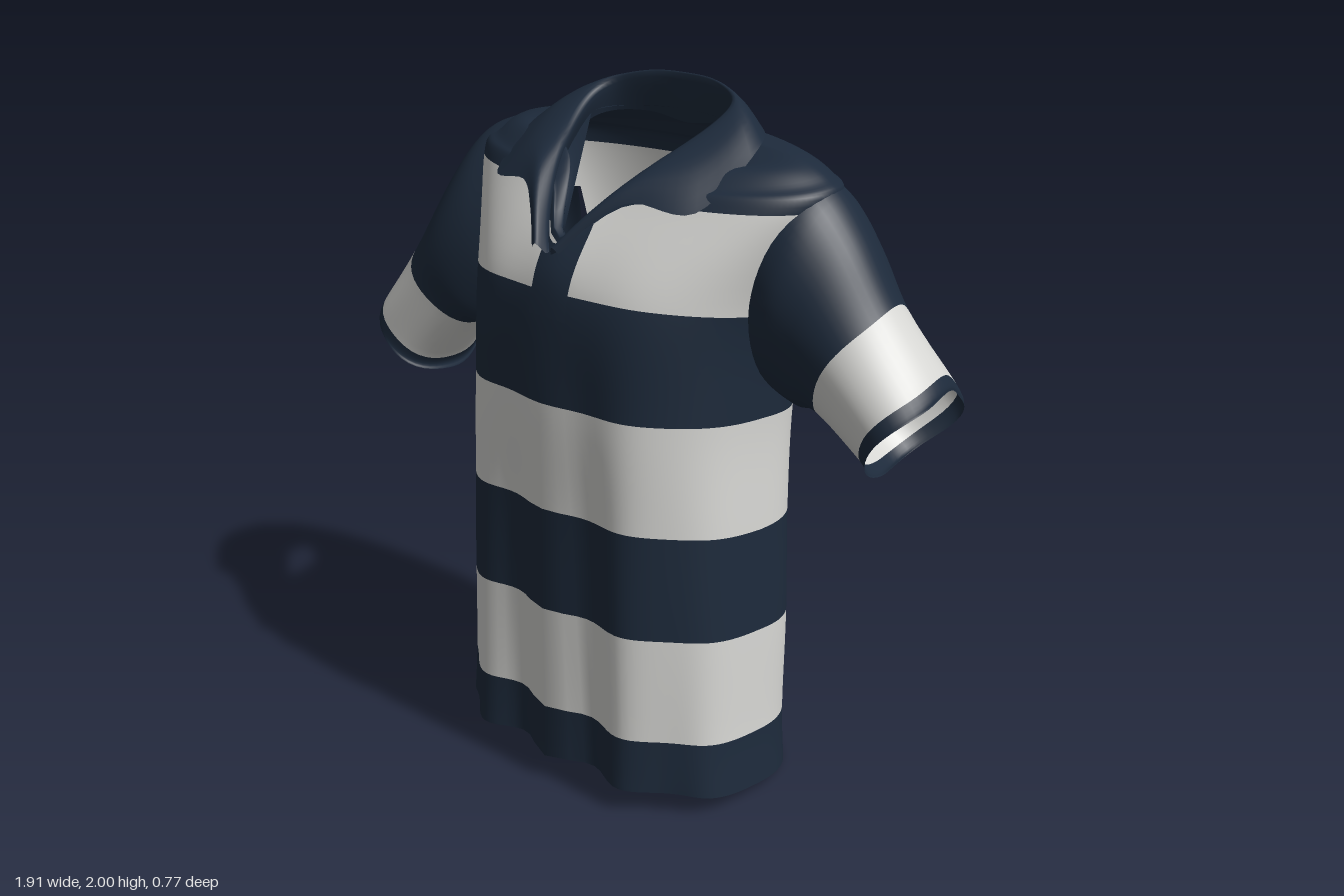
import * as THREE from 'three';

const navy = new THREE.MeshStandardMaterial({ color: 0x1d2a3b, side: THREE.DoubleSide });
navy.name = 'navy cloth';
const pale = new THREE.MeshStandardMaterial({ color: 0xd6d6d3, side: THREE.DoubleSide });
pale.name = 'pale cloth';

// Smooth interpolation through a list of key rows
function sample(keys, t) {
  const n = keys.length - 1;
  const i = Math.min(Math.floor(t), n - 1), f = t - i;
  const [a, b, c, d] = [i - 1, i, i + 1, i + 2].map(k => keys[Math.min(Math.max(k, 0), n)]);
  return b.map((_, k) => {
    const m0 = (c[k] - a[k]) / 2, m1 = (d[k] - b[k]) / 2;
    const f2 = f * f, f3 = f2 * f;
    return (2 * f3 - 3 * f2 + 1) * b[k] + (f3 - 2 * f2 + f) * m0 + (3 * f2 - 2 * f3) * c[k] + (f3 - f2) * m1;
  });
}

// Surface through rows; isPale(rowFraction) colours a row band, isHole(x, y, z) leaves faces out
function loft(name, point, rows, cols, closed, isPale = () => false, isHole = () => false) {
  const pos = [], idx = [], geo = new THREE.BufferGeometry();
  const w = closed ? cols : cols + 1;
  for (let i = 0; i <= rows; i++)
    for (let j = 0; j < w; j++) pos.push(...point(i / rows, j / cols));
  for (let i = 0; i < rows; i++) {
    const start = idx.length;
    for (let j = 0; j < cols; j++) {
      const a = i * w + j, b = i * w + (j + 1) % w;
      if (!isHole(...point((i + 0.5) / rows, (j + 0.5) / cols)))
        idx.push(a, b, a + w, b, b + w, a + w);
    }
    geo.addGroup(start, idx.length - start, isPale((i + 0.5) / rows) ? 1 : 0);
  }
  geo.setAttribute('position', new THREE.Float32BufferAttribute(pos, 3));
  geo.setIndex(idx);
  geo.computeVertexNormals();
  const mesh = new THREE.Mesh(geo, [navy, pale]);
  mesh.name = name;
  return mesh;
}

// Torso rings: front y,z | side x,y,z | back y,z | front, back squareness | neck dip
const torsoRings = [
  [0.08, 0.36, 0.515, 0.035, 0.02, 0.0, -0.31, 0.65, 0.8, 0],
  [0.245, 0.36, 0.5, 0.205, 0.02, 0.17, -0.315, 0.65, 0.8, 0],
  [0.565, 0.365, 0.49, 0.525, 0.0, 0.49, -0.325, 0.67, 0.8, 0],
  [0.875, 0.365, 0.475, 0.83, 0.0, 0.81, -0.335, 0.7, 0.8, 0],
  [1.19, 0.37, 0.465, 1.155, -0.02, 1.12, -0.355, 0.75, 0.8, 0],
  [1.5, 0.345, 0.495, 1.45, -0.06, 1.42, -0.378, 0.82, 0.85, 0],
  [1.74, 0.19, 0.605, 1.745, -0.09, 1.735, -0.36, 0.9, 0.95, 0.12],
  [1.785, 0.15, 0.57, 1.815, -0.1, 1.805, -0.33, 0.95, 0.95, 0.15],
  [1.82, 0.09, 0.46, 1.862, -0.1, 1.865, -0.28, 1, 1, 0.19],
  [1.63, 0.28, 0.25, 1.88, -0.1, 1.9, -0.225, 2, 1, 0],
];

function torsoPoint(t, angle) {
  const [fy, fz, sx, sy, sz, by, bz, ef, eb, dip] = sample(torsoRings, t);
  const s = Math.sin(angle), c = Math.cos(angle), e = c > 0 ? ef : eb;
  const k = Math.abs(c) ** e;
  const x = sx * Math.sign(s) * Math.abs(s) ** e;
  let y = sy + ((c > 0 ? fy : by) - sy) * k;
  let z = sz + ((c > 0 ? fz : bz) - sz) * k;
  if (c > 0) {
    // open neck notch and hanging folds
    const notch = dip * Math.exp(-((x / 0.1) ** 2));
    y -= notch;
    z += notch * 0.9 + k * 0.028 * Math.max(0, 1 - t / 5.5) * Math.cos(x * 2 * Math.PI / 0.28);
  }
  return [x, y, z];
}

// Armholes where the sleeves join
const inArmhole = (x, y, z) =>
  Math.abs(x) > 0.38 && ((z + 0.1) / 0.165) ** 2 + ((y - 1.53) / 0.25) ** 2 < 1;

// Sleeve rings: top x,y | bottom x,y | middle z | half depth
const sleeves = {
  leftSleeve: [
    [0.52, 1.835, 0.43, 1.25, -0.105, 0.19],
    [0.605, 1.785, 0.485, 1.215, -0.11, 0.205],
    [0.69, 1.68, 0.55, 1.19, -0.115, 0.195],
    [0.795, 1.515, 0.62, 1.19, -0.115, 0.18],
    [0.925, 1.345, 0.775, 1.09, -0.13, 0.19],
    [0.945, 1.305, 0.8, 1.06, -0.13, 0.19],
  ],
  rightSleeve: [
    [-0.52, 1.84, -0.43, 1.25, -0.09, 0.19],
    [-0.605, 1.795, -0.485, 1.215, -0.065, 0.205],
    [-0.69, 1.67, -0.55, 1.195, -0.02, 0.185],
    [-0.82, 1.455, -0.615, 1.2, 0.01, 0.165],
    [-0.93, 1.3, -0.76, 1.05, 0.0, 0.195],
    [-0.945, 1.26, -0.77, 1.01, 0.0, 0.2],
  ],
};

function sleevePoint(rings, t, angle) {
  const [tx, ty, bx, by, zc, zh] = sample(rings, t);
  const fold = 1 + 0.006 * t * Math.sin(angle * 5 + t * 0.6);
  const c = Math.cos(angle) * 0.5 * fold;
  return [
    (tx + bx) / 2 + (tx - bx) * c + 0.003 * t * Math.sin(angle * 3),
    (ty + by) / 2 + (ty - by) * c,
    zc + zh * Math.sin(angle) * fold,
  ];
}

// Collar edges from the front opening round to the middle of the back
const foldEdge = [
  [0.01, 1.6, 0.335], [0.08, 1.7, 0.25], [0.16, 1.815, 0.12], [0.23, 1.915, -0.05],
  [0.22, 1.965, -0.15], [0.12, 1.995, -0.2], [0, 2.0, -0.215],
];
const outerEdge = [
  [0.05, 1.61, 0.345], [0.12, 1.7, 0.28], [0.2, 1.75, 0.225], [0.365, 1.74, 0.165],
  [0.385, 1.872, -0.06], [0.22, 1.88, -0.265], [0, 1.875, -0.29],
];
const standEdge = foldEdge.map(([x, y, z], i) => [x * 1.08, y - 0.023 * i, z - 0.015]);
const flapMiddle = foldEdge.map((p, i) => p.map((v, k) =>
  (v + outerEdge[i][k]) / 2 + [0, 0.02, i < 4 ? 0.012 : 0][k]));
const mirrorEdge = half => [...half, ...half.slice(0, -1).reverse().map(([x, y, z]) => [-x, y, z])];
const collarRows = [outerEdge, flapMiddle, foldEdge, standEdge].map(mirrorEdge);

export function createModel() {
  const shirt = new THREE.Group();
  shirt.name = 'shirt';

  // Striped torso, open at hem, neck and armholes
  const last = torsoRings.length - 1;
  shirt.add(loft('torso', (u, v) => torsoPoint(u * last, v * 2 * Math.PI), last * 8, 128, true,
    u => [1, 3, 5].includes(Math.floor(u * last)), inArmhole));

  // Short sleeves with a pale band above the cuff
  for (const [name, rings] of Object.entries(sleeves)) {
    const n = rings.length - 1;
    shirt.add(loft(name, (u, v) => sleevePoint(rings, u * n, v * 2 * Math.PI), n * 6, 48, true,
      u => Math.floor(u * n) === 3));
  }

  // Fold-over collar with an inner stand
  const n = collarRows[0].length - 1;
  shirt.add(loft('collar', (u, v) => sample(collarRows.map(row => sample(row, v * n)), u * 3), 15, 72, false));

  // Button placket lying on the chest
  shirt.add(loft('placket', (u, v) => {
    const [x, y, z] = torsoPoint(4.75 + u * 1.25, -0.055 + v * 0.17);
    return [x, y, z + 0.008];
  }, 14, 8, false));

  return shirt;
}
